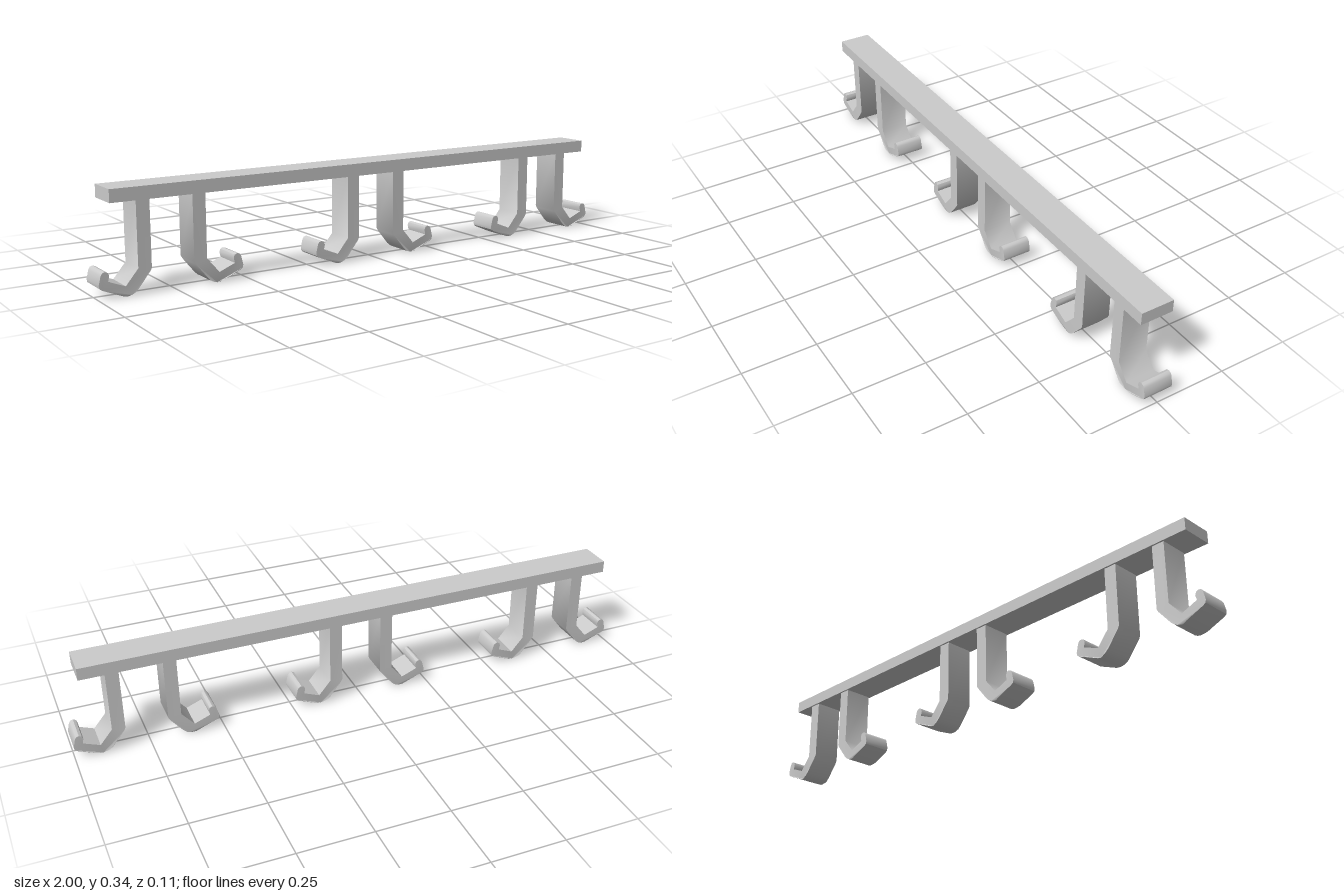
import * as THREE from 'three';
import { toCreasedNormals } from 'three/addons/utils/BufferGeometryUtils.js';

const material = new THREE.MeshStandardMaterial({ color: 0xcccccc });
const HALF_DEPTH = 0.051;

// Side profile of one hook, measured from the middle of its pair
const hookProfile = [
  [0.071, 0.3], [0.071, 0.08], [0.076, 0.07], [0.117, 0.019], [0.128, 0.009],
  [0.138, 0.004], [0.15, 0], [0.162, 0.002], [0.172, 0.006], [0.232, 0.031],
  [0.24, 0.037], [0.242, 0.047], [0.235, 0.076], [0.23, 0.084], [0.221, 0.087],
  [0.212, 0.083], [0.208, 0.073], [0.212, 0.056], [0.157, 0.034],
  [0.115, 0.084], [0.115, 0.3],
];

// side = 1 opens towards +x, side = -1 is the mirror image
function hookGeometry(side) {
  const shape = new THREE.Shape(hookProfile.map(([x, y]) => new THREE.Vector2(side * x, y)));
  const geo = new THREE.ExtrudeGeometry(shape, { depth: 2 * HALF_DEPTH, bevelEnabled: false });
  geo.translate(0, 0, -HALF_DEPTH);
  // Ease the lower corners inwards
  const p = geo.attributes.position;
  for (let i = 0; i < p.count; i++) {
    if (p.getY(i) < 0.005) p.setZ(i, p.getZ(i) * (0.91 + 18 * p.getY(i)));
  }
  return toCreasedNormals(geo, 0.7);
}

export function createModel() {
  const model = new THREE.Group();
  model.name = 'hookRail';

  // Mounting rail
  const rail = new THREE.Mesh(new THREE.BoxGeometry(1.916, 0.042, 0.114), material);
  rail.name = 'rail';
  rail.position.y = 0.316;
  model.add(rail);

  // Three pairs of hooks facing away from each other
  const left = hookGeometry(1);
  const right = hookGeometry(-1);
  for (const x of [-0.758, 0, 0.758]) {
    const pair = new THREE.Group();
    pair.name = 'hookPair';
    pair.position.x = x;
    for (const [name, geo] of [['leftHook', left], ['rightHook', right]]) {
      const hook = new THREE.Mesh(geo, material);
      hook.name = name;
      pair.add(hook);
    }
    model.add(pair);
  }
  return model;
}
